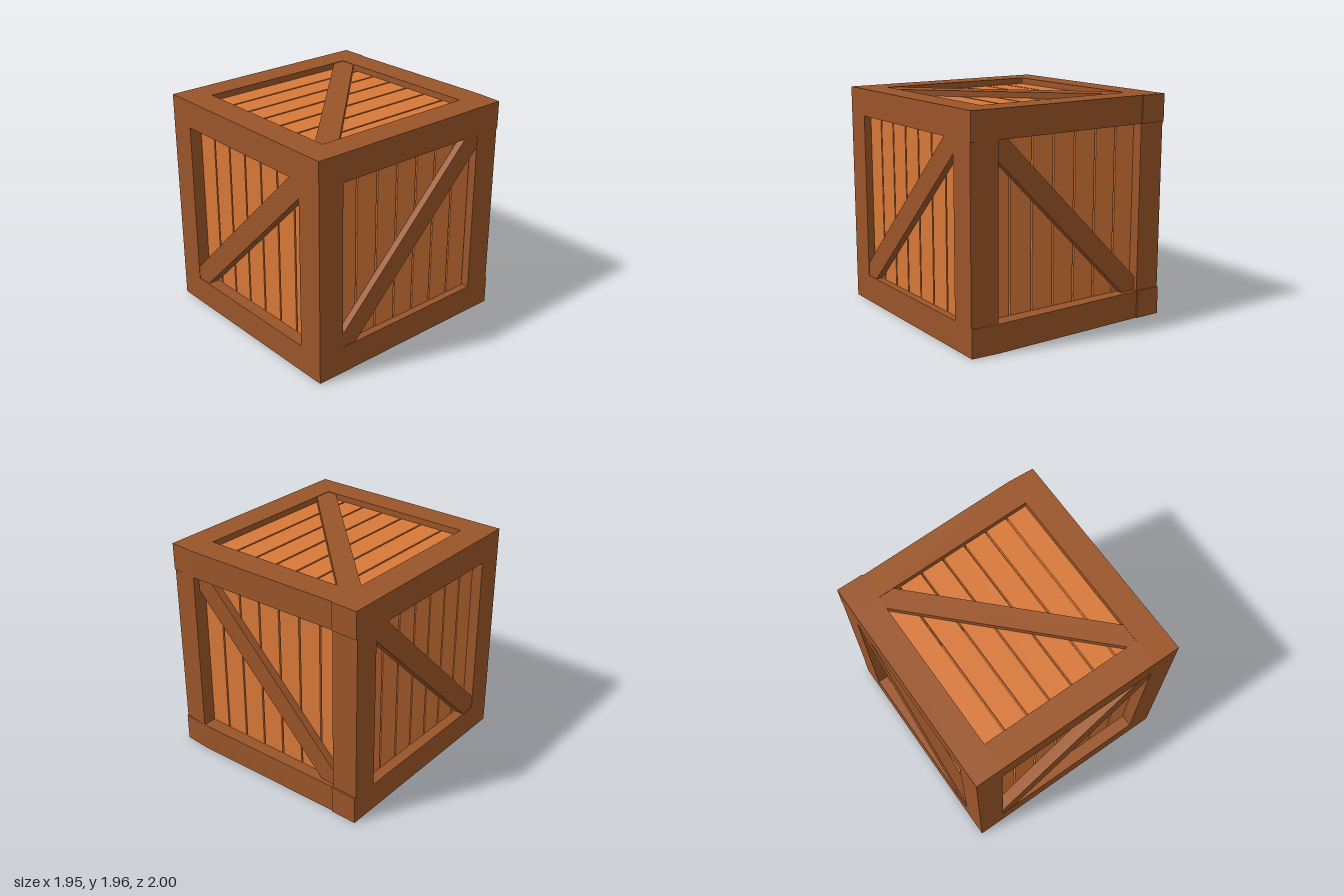
import * as THREE from 'three';

const frameMat = new THREE.MeshStandardMaterial({ color: 0x9a5529, flatShading: true });
const plankMat = new THREE.MeshStandardMaterial({ color: 0xd87838, flatShading: true });

// outer and inner limits of the frame
const X = 0.975, XI = 0.735;
const Y = 1.955, Y0 = 0.245, Y1 = 1.715;
const ZF = 1, ZFI = 0.76, ZB = -0.975, ZBI = -0.735;
const THICK = 0.05;

// depth of the planks below the frame surface, face by face
const DEPTH = { front: 0.11, back: 0.1, left: 0.065, right: 0.095, top: 0.055, bottom: 0.065 };

// box given by its limits; optional rules move its rear and inner corners
function block(name, mat, [x0, x1], [y0, y1], [z0, z1], rear, inner) {
  const geo = new THREE.BoxGeometry(x1 - x0, y1 - y0, z1 - z0);
  geo.translate((x0 + x1) / 2, (y0 + y1) / 2, (z0 + z1) / 2);
  const p = geo.attributes.position;
  for (let i = 0; i < p.count; i++) {
    const rule = p.getZ(i) < (z0 + z1) / 2 ? rear : inner;
    if (rule) p.setZ(i, rule(p.getX(i)));
  }
  geo.computeVertexNormals();
  const mesh = new THREE.Mesh(geo, mat);
  mesh.name = name;
  return mesh;
}

// diagonal board lying in the XY plane, then turned onto its face
function brace(name, thickness, position, rotation) {
  const mesh = new THREE.Mesh(new THREE.BoxGeometry(2.24, 0.183, thickness), frameMat);
  mesh.name = name;
  mesh.position.set(...position);
  mesh.rotation.set(...rotation);
  return mesh;
}

export function createModel() {
  const crate = new THREE.Group();
  crate.name = 'crate';

  const frame = new THREE.Group();
  frame.name = 'frame';
  crate.add(frame);
  const rows = [[0, Y0], [Y1, Y]];
  const cols = [[-X, -XI], [XI, X]];
  const back = [ZB, ZBI];

  // front posts, and side rails running front to back
  for (const c of cols) {
    frame.add(block('frontPost', frameMat, c, [0, Y], [ZFI, ZF]));
    for (const r of rows) frame.add(block('sideRail', frameMat, c, r, [ZBI, ZFI]));
  }

  // front rails and slightly skewed back rails
  const skew = (a, b) => x => THREE.MathUtils.mapLinear(x, -XI, XI, a, b);
  for (const r of rows) {
    frame.add(block('frontRail', frameMat, [-XI, XI], r, [ZFI, ZF]));
    frame.add(block('backRail', frameMat, [-XI, XI], r, back, skew(-0.975, -1), skew(ZBI, -0.755)));
  }

  // back corners stand a little proud of the back posts
  for (const r of rows) {
    frame.add(block('backCorner', frameMat, cols[0], r, back, () => -0.985));
    frame.add(block('backCorner', frameMat, cols[1], r, back, x => (x > 0.9 ? -0.985 : -1)));
  }
  frame.add(block('backPost', frameMat, cols[0], [Y0, Y1], back, () => -0.97));
  frame.add(block('backPost', frameMat, cols[1], [Y0, Y1], back, x => (x > 0.9 ? -0.975 : -1)));

  // seven spaced planks on each of the six faces
  const planks = new THREE.Group();
  planks.name = 'planks';
  crate.add(planks);
  const pitch = 0.2155, width = 0.2;
  const tall = [Y0 - 0.04, Y1 + 0.04];
  const deep = [ZBI - 0.04, ZFI + 0.04];
  const layers = (lo, dLo, hi, dHi) => [
    [lo + dLo, lo + dLo + THICK],
    [hi - dHi - THICK, hi - dHi],
  ];
  const zLayers = layers(ZB, DEPTH.back, ZF, DEPTH.front);
  const xLayers = layers(-X, DEPTH.right, X, DEPTH.left);
  const yLayers = layers(0, DEPTH.bottom, Y, DEPTH.top);
  for (let i = -3; i <= 3; i++) {
    const span = c => [c + i * pitch - width / 2, c + i * pitch + width / 2];
    for (const d of zLayers) planks.add(block('frontBackPlank', plankMat, span(0.005), tall, d));
    xLayers.forEach((d, k) => planks.add(block('sidePlank', plankMat, d, tall, span(0.018 + 0.006 * k))));
    for (const d of yLayers) planks.add(block('topBottomPlank', plankMat, span(0), d, deep));
  }

  // diagonal braces resting on the planks, just under the frame surface
  const braces = new THREE.Group();
  braces.name = 'braces';
  crate.add(braces);
  const q = Math.PI / 4, skin = 0.004, backSkin = 0.035;
  const addBrace = (name, depth, gap, place, rotation) => {
    braces.add(brace(name, depth - gap, place((depth + gap) / 2), rotation));
  };
  const upright = [0, 0, q], sideways = [0, Math.PI / 2, q, 'YXZ'], flat = [-Math.PI / 2, 0, -q];
  addBrace('frontBrace', DEPTH.front, skin, d => [0, 0.969, ZF - d], upright);
  addBrace('backBrace', DEPTH.back, backSkin, d => [0, 0.969, ZB + d], upright);
  addBrace('leftBrace', DEPTH.left, skin, d => [X - d, 0.982, 0.0125], sideways);
  addBrace('rightBrace', DEPTH.right, skin, d => [-X + d, 0.982, 0.0125], sideways);
  addBrace('topBrace', DEPTH.top, skin, d => [0.012, Y - d, -0.003], flat);
  addBrace('bottomBrace', DEPTH.bottom, skin, d => [0.012, d, -0.003], flat);
  return crate;
}
